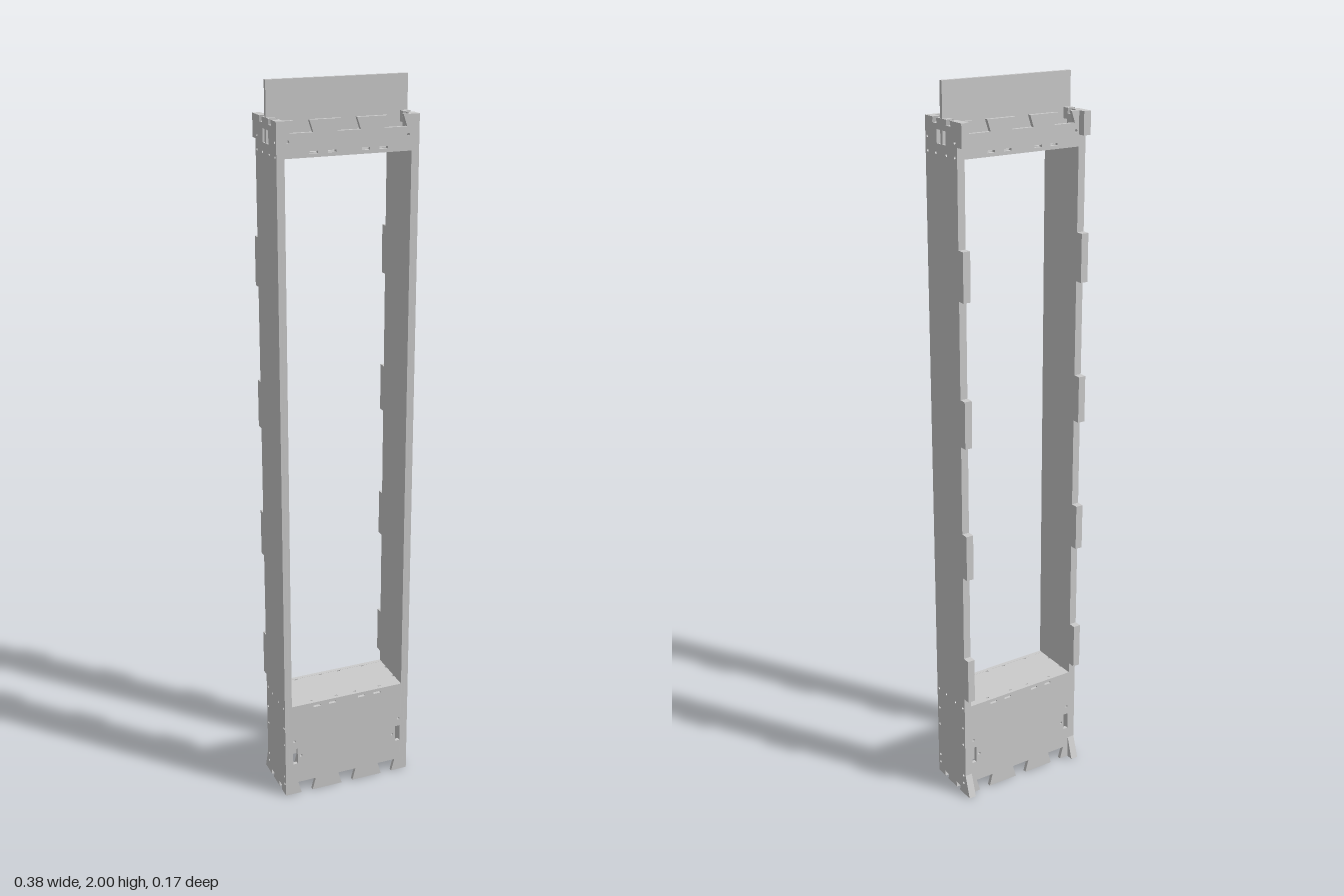
import * as THREE from 'three';

const H = 1.91;          // height of the side boards
const T = 0.0105;        // board thickness
const FRONT = 0.085;     // front face of the frame
const BACK = -0.065;     // back face of the frame
const IN = 0.169;        // inner half width
const mat = new THREE.MeshStandardMaterial({ color: 0xcccccc, flatShading: true });

const shapeOf = pts => new THREE.Shape(pts.map(p => new THREE.Vector2(p[0], p[1])));

function rectHole(shape, x0, x1, y0, y1) {
  shape.holes.push(new THREE.Path([[x0, y0], [x1, y0], [x1, y1], [x0, y1]].map(p => new THREE.Vector2(...p))));
}

function roundHole(shape, x, y, r = 0.004) {
  const hole = new THREE.Path();
  hole.absarc(x, y, r, 0, Math.PI * 2, true);
  shape.holes.push(hole);
}

function board(name, shape, depth = T) {
  const geo = new THREE.ExtrudeGeometry(shape, { depth, bevelEnabled: false, curveSegments: 5 });
  const mesh = new THREE.Mesh(geo, mat);
  mesh.name = name;
  return mesh;
}

// Dovetail socket cut into an edge at height y, dir = +1 cuts upwards; left to right
const socket = (c, y, dir, depth, mouth, floor) => [
  [c - mouth, y], [c - floor, y + dir * depth], [c + floor, y + dir * depth], [c + mouth, y]];

// Side board outline in (z, y): sockets at both ends, tabs along the back edge
function sideShape() {
  const pts = [[BACK - 0.021, 0]];
  for (const c of [-0.025, 0.04]) pts.push(...socket(c, 0, 1, 0.016, 0.008, 0.011));
  pts.push([FRONT, 0], [FRONT, H]);
  for (const c of [0.04, -0.025]) pts.push(...socket(c, H, -1, 0.014, 0.008, 0.011).reverse());
  const tabs = [[1.85, H], [1.47, 1.6], [1.08, 1.21], [0.7, 0.83], [0.32, 0.45], [0, 0.065]];
  tabs.forEach(([a, b], i) => {
    if (i > 0) pts.push([BACK, b]);
    pts.push([BACK - 0.021, b]);
    if (a > 0) pts.push([BACK - 0.021, a], [BACK, a]);
  });
  pts.pop();
  const s = shapeOf([...pts]);
  // slot for the upright board, then peg holes
  rectHole(s, -0.012, 0.03, 1.848, 1.882);
  for (const z of [-0.054, 0.075])
    for (const y of [0.035, 0.06, 0.165, 0.22, 0.285, 1.825, 1.86]) roundHole(s, z, y);
  for (const z of [-0.015, 0.035]) for (const y of [0.285, 1.825]) roundHole(s, z, y);
  return s;
}

// Cross panel below or above the opening, with three dovetail sockets
function panelShape(y0, y1, lower) {
  const cuts = [-0.125, 0, 0.125];
  const pts = [[-IN, y0]];
  if (lower) for (const c of cuts) pts.push(...socket(c, y0, 1, 0.037, 0.017, 0.027));
  pts.push([IN, y0], [IN, y1]);
  if (!lower) for (const c of [...cuts].reverse()) pts.push(...socket(c, y1, -1, 0.03, 0.021, 0.031).reverse());
  pts.push([-IN, y1]);
  const s = shapeOf(pts);
  const slotY = lower ? y1 - 0.012 : y0 + 0.012;
  for (const x of [-0.093, -0.045, 0.045, 0.093]) rectHole(s, x - 0.011, x + 0.011, slotY - 0.003, slotY + 0.003);
  for (const side of [-1, 1]) {
    if (lower) {
      const xs = [side * 0.153, side * 0.167].sort((a, b) => a - b);
      rectHole(s, xs[0], xs[1], 0.1, 0.15);
      roundHole(s, side * 0.143, 0.125);
      roundHole(s, side * 0.162, 0.175);
    } else roundHole(s, side * 0.16, 1.86);
  }
  return s;
}

// Shelf outline in (x, -z) with small notches on all edges
function shelfShape() {
  const z0 = -(FRONT - T), z1 = -(BACK + T), n = 0.004, d = 0.005;
  const xs = [-0.105, -0.029, 0.029, 0.105], zs = [-0.035, 0.02];
  const pts = [[-IN, z0]];
  for (const c of xs) pts.push([c - n, z0], [c - n, z0 + d], [c + n, z0 + d], [c + n, z0]);
  pts.push([IN, z0]);
  for (const c of zs) pts.push([IN, c - n], [IN - d, c - n], [IN - d, c + n], [IN, c + n]);
  pts.push([IN, z1]);
  for (const c of [...xs].reverse()) pts.push([c + n, z1], [c + n, z1 - d], [c - n, z1 - d], [c - n, z1]);
  pts.push([-IN, z1]);
  for (const c of [...zs].reverse()) pts.push([-IN, c + n], [-IN + d, c + n], [-IN + d, c - n], [-IN, c - n]);
  return shapeOf(pts);
}

export function createModel() {
  const group = new THREE.Group();
  group.name = 'openFrame';

  // Each side is a pair of boards laid face to face
  for (const [label, side] of [['left', 1], ['right', -1]]) {
    ['inner', 'outer'].forEach((layer, i) => {
      const m = board(`${label}Side${layer === 'inner' ? 'Inner' : 'Outer'}Board`, sideShape());
      m.rotation.y = -Math.PI / 2;
      const lo = IN + i * T;
      m.position.x = side > 0 ? lo + T : -lo;
      group.add(m);
    });
  }

  // Cross panels, front and back
  for (const [label, z] of [['front', FRONT - T], ['back', BACK]]) {
    const lower = board(`${label}LowerPanel`, panelShape(0, 0.29, true));
    const upper = board(`${label}UpperPanel`, panelShape(1.82, H, false));
    lower.position.z = upper.position.z = z;
    group.add(lower, upper);
  }

  // Shelves closing the opening
  for (const [name, y] of [['lowerShelf', 0.279], ['upperShelf', 1.8205]]) {
    const shelf = board(name, shelfShape());
    shelf.rotation.x = -Math.PI / 2;
    shelf.position.y = y;
    group.add(shelf);
  }

  // Upright board standing across the top
  const upright = new THREE.Mesh(new THREE.BoxGeometry(0.379, 2 - 1.832, T), mat);
  upright.name = 'topUprightBoard';
  upright.position.set(0, (2 + 1.832) / 2, 0.008);
  group.add(upright);

  return group;
}
